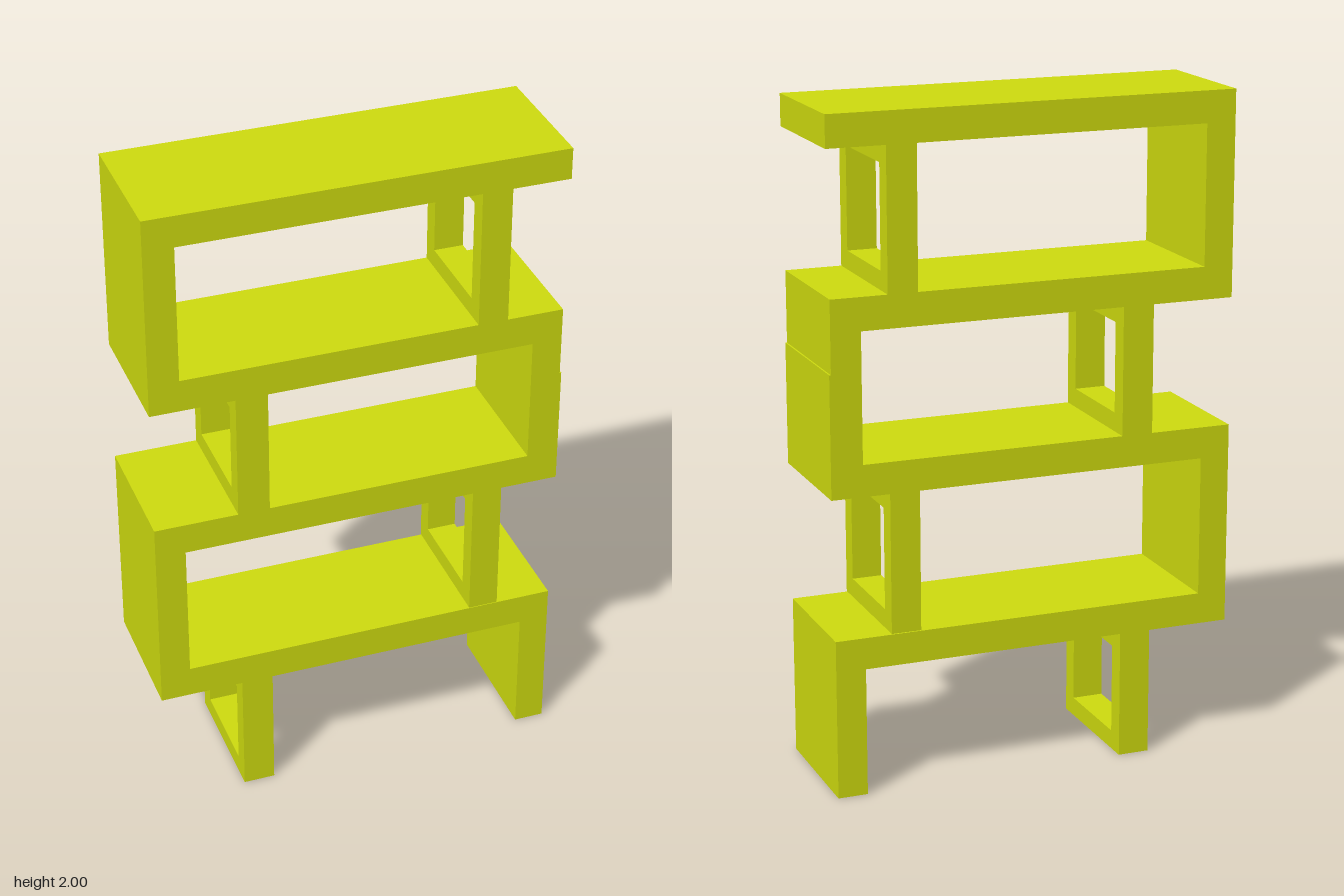
import * as THREE from 'three';

const DEPTH = 0.408;

export function createModel() {
  const model = new THREE.Group();
  model.name = 'shelfUnit';
  const material = new THREE.MeshStandardMaterial({ color: 0xd0dd0f });

  const add = (name, geometry) => {
    const mesh = new THREE.Mesh(geometry, material);
    mesh.name = name;
    model.add(mesh);
    return mesh;
  };
  const shapeOf = (points) => new THREE.Shape(points.map(([x, y]) => new THREE.Vector2(x, y)));

  // Continuous meandering band: right leg, shelves and alternating side walls
  const band = shapeOf([
    [0.525, 0], [0.615, 0], [0.615, 0.482], [-0.53, 0.482], [-0.53, 0.905],
    [0.62, 0.905], [0.62, 1.27], [0.615, 1.27], [0.615, 1.485], [-0.53, 1.485],
    [-0.53, 1.905], [0.62, 1.905], [0.62, 2], [-0.62, 2], [-0.62, 1.387],
    [0.525, 1.387], [0.525, 1], [-0.62, 1], [-0.62, 0.387], [0.525, 0.387],
  ]);
  const bandGeometry = new THREE.ExtrudeGeometry(band, { depth: DEPTH, bevelEnabled: false });
  bandGeometry.translate(0, 0, -DEPTH / 2);
  add('shelfBand', bandGeometry);

  // Upright frames with a rectangular opening, set in from the open ends
  const addFrame = (name, x0, x1, y0, y1) => {
    const h = DEPTH / 2, w = 0.146, lip = 0.057;
    const frame = shapeOf([[-h, y0], [h, y0], [h, y1], [-h, y1]]);
    frame.holes.push(shapeOf([
      [-w, y0 + lip], [-w, y1 - lip], [w, y1 - lip], [w, y0 + lip],
    ]));
    const geometry = new THREE.ExtrudeGeometry(frame, { depth: x1 - x0, bevelEnabled: false });
    geometry.rotateY(Math.PI / 2);
    geometry.translate(x0, 0, 0);
    add(name, geometry);
  };
  for (const [i, tier] of ['lower', 'upper'].entries()) {
    addFrame(`${tier}LeftSupportFrame`, 0.355, 0.445, i + 0.484, i + 0.905);
    addFrame(`${tier}RightSupportFrame`, -0.37, -0.275, i, i + 0.387);
  }

  return model;
}
